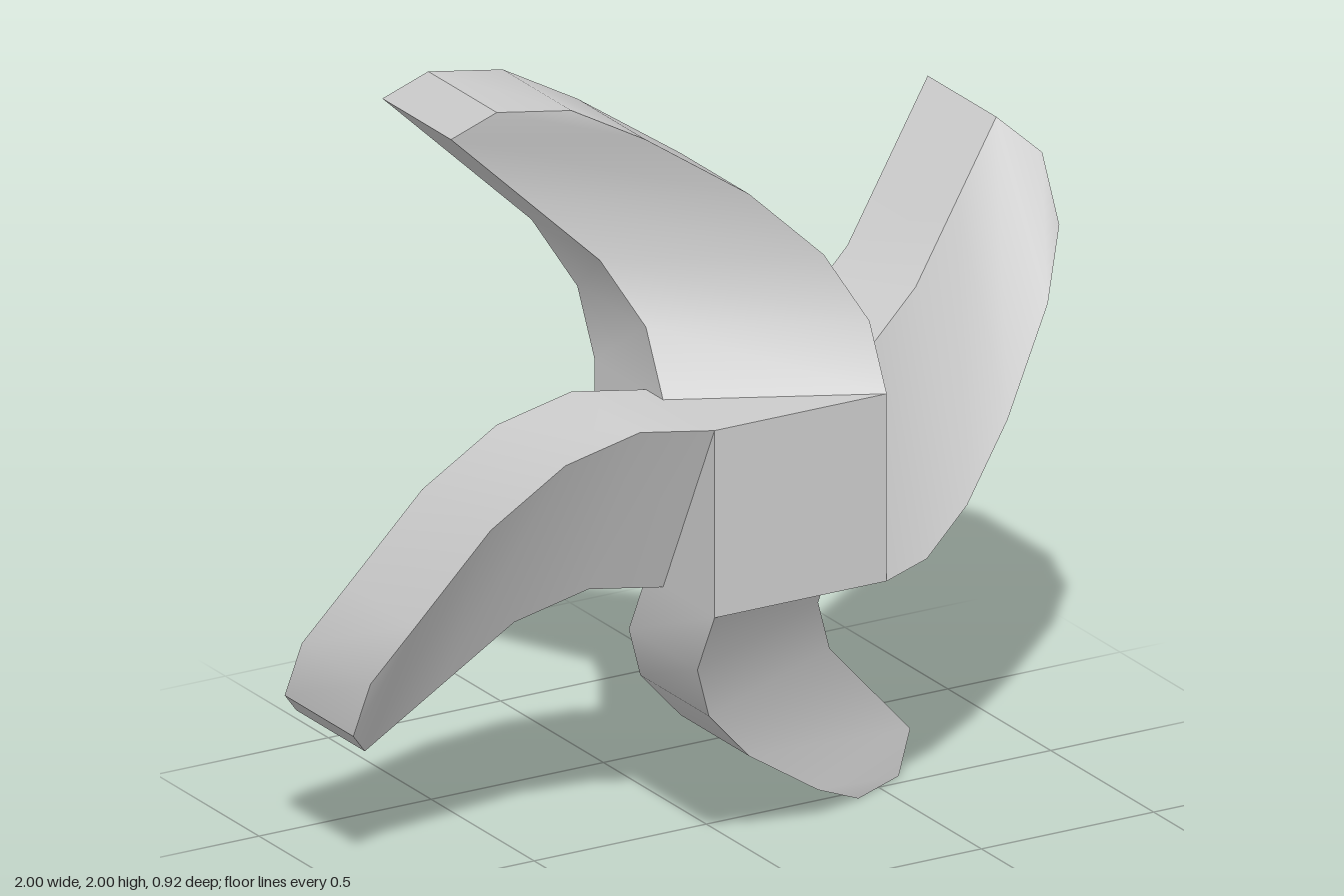
import * as THREE from 'three';
import { toCreasedNormals } from 'three/addons/utils/BufferGeometryUtils.js';

const U = 1 / 12; // design grid

// Blade outline: lower edge root to tip, then upper edge back to root
const OUTLINE = [
  [3, -3], [5, -3], [7, -2], [9, 0], [11, 3], [12, 5], [12, 7],
  [11, 8], [9, 6], [7, 4], [5, 3], [3, 3],
];
const THICKNESS = 4;

// Curved blade, swept backward towards its tip and twisted across its width
function bladeGeometry() {
  const n = OUTLINE.length;
  const positions = [];
  const index = [];
  const quad = (a, b, c, d) => index.push(a, b, c, a, c, d);

  for (const depth of [0, THICKNESS]) {
    OUTLINE.forEach(([x, y], i) => {
      const z = (i <= 7 ? 5.5 - i : i - 8.5) - depth;
      positions.push(x * U, y * U, z * U);
    });
  }
  // front and back faces, as strips between the lower and upper edges
  for (let i = 0; i < 5; i++) {
    const [a, b, c, d] = [i, i + 1, n - 2 - i, n - 1 - i];
    quad(a, b, c, d);
    quad(d + n, c + n, b + n, a + n);
  }
  // rim (the open root sits against the hub)
  for (let i = 0; i < n - 1; i++) quad(i, i + n, i + 1 + n, i + 1);

  const geometry = new THREE.BufferGeometry();
  geometry.setAttribute('position', new THREE.Float32BufferAttribute(positions, 3));
  geometry.setIndex(index);
  return toCreasedNormals(geometry, THREE.MathUtils.degToRad(38));
}

export function createModel() {
  const model = new THREE.Group();
  model.name = 'rotor';
  const material = new THREE.MeshStandardMaterial({ color: 0xcccccc });

  // Square hub
  const hub = new THREE.Mesh(new THREE.BoxGeometry(6 * U, 6 * U, 7 * U), material);
  hub.name = 'hub';
  hub.position.set(0, 1, 2 * U);
  model.add(hub);

  // Four identical blades, a quarter turn apart
  const geometry = bladeGeometry();
  ['rightBlade', 'topBlade', 'leftBlade', 'bottomBlade'].forEach((name, i) => {
    const blade = new THREE.Mesh(geometry, material);
    blade.name = name.replace(/^(right|left)/, (s) => (s === 'right' ? 'left' : 'right'));
    blade.position.y = 1;
    blade.rotation.z = (i * Math.PI) / 2;
    model.add(blade);
  });
  return model;
}
